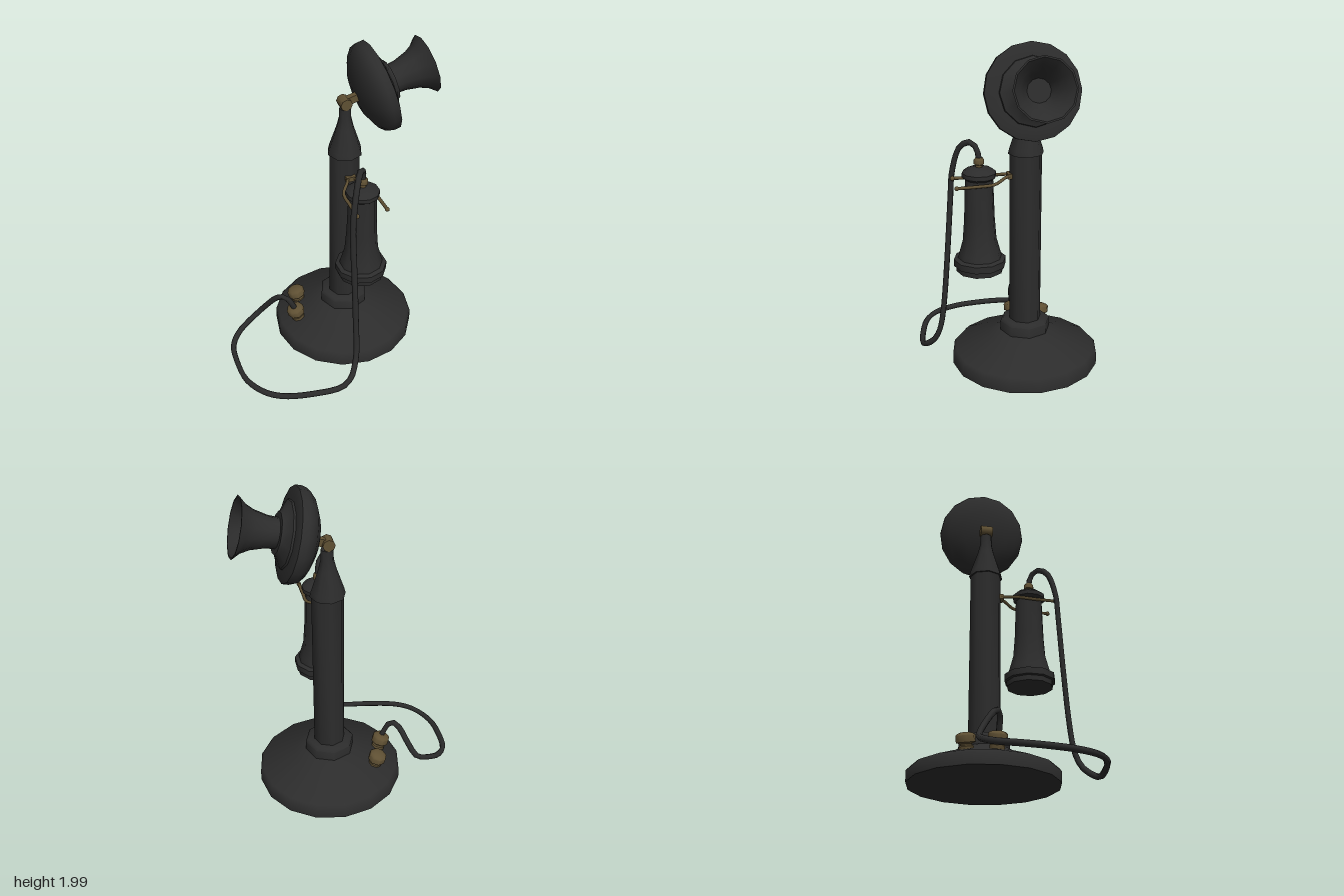
import * as THREE from 'three';
import { toCreasedNormals } from 'three/addons/utils/BufferGeometryUtils.js';

const V = (a) => new THREE.Vector3(...a);

export function createModel() {
  const black = new THREE.MeshStandardMaterial({ color: 0x2c2c2c });
  black.name = 'black enamel';
  const brass = new THREE.MeshStandardMaterial({ color: 0x5f5033 });
  brass.name = 'aged brass';

  const model = new THREE.Group();
  model.name = 'candlestickTelephone';

  function add(parent, name, geometry, material, pos = [0, 0, 0]) {
    const mesh = new THREE.Mesh(geometry, material);
    mesh.name = name;
    mesh.position.set(...pos);
    parent.add(mesh);
    return mesh;
  }
  // Turned part from [radius, height] pairs, listed bottom to top
  function turned(profile, sides) {
    const points = profile.map(([r, y]) => new THREE.Vector2(r, y));
    return toCreasedNormals(new THREE.LatheGeometry(points, sides), 0.83);
  }
  function tube(points, radius, steps, sides = 6, tension = 0.5) {
    const curve = new THREE.CatmullRomCurve3(points.map(V), false, 'catmullrom', tension);
    return new THREE.TubeGeometry(curve, steps, radius, sides);
  }

  // Stand: wide foot, collar, column and tapered top
  const stand = new THREE.Group();
  stand.name = 'stand';
  stand.position.set(0.13, 0, -0.09);
  model.add(stand);
  add(stand, 'base', turned([[0, 0.015], [0.443, 0.015], [0.443, 0.08], [0.425, 0.1],
    [0.22, 0.177], [0.155, 0.215], [0, 0.215]], 16), black);
  add(stand, 'collar', turned([[0.15, 0.18], [0.15, 0.275], [0.135, 0.29], [0, 0.29]], 8), black);
  add(stand, 'column', turned([[0.095, 0.28], [0.095, 1.34]], 8), black);
  add(stand, 'columnTop', turned([[0, 1.33], [0.105, 1.33], [0.098, 1.36], [0.052, 1.5],
    [0.038, 1.56], [0.036, 1.625], [0, 1.625]], 8), black);

  // Pivot joint carrying the mouthpiece
  const joint = new THREE.Group();
  joint.name = 'pivotJoint';
  joint.position.set(0.125, 1.66, -0.09);
  model.add(joint);
  add(joint, 'pivotPin', new THREE.CylinderGeometry(0.036, 0.036, 0.075, 8).rotateX(Math.PI / 2), brass);
  add(joint, 'pivotStem', new THREE.CylinderGeometry(0.02, 0.022, 0.06, 8), brass, [0, -0.025, 0]);
  add(joint, 'pivotArm', new THREE.BoxGeometry(0.13, 0.045, 0.035), brass, [0.055, 0.018, 0])
    .rotation.z = 0.26;

  // Mouthpiece, tilted upward to the side
  const head = new THREE.Group();
  head.name = 'mouthpiece';
  head.position.set(0.345, 1.737, -0.085);
  head.rotation.z = -1.309;
  model.add(head);
  add(head, 'transmitterHousing', turned([[0, -0.155], [0.143, -0.143], [0.225, -0.105],
    [0.262, -0.07], [0.27, -0.045], [0.27, -0.005], [0.25, 0.002], [0.2, 0.008], [0, 0.008]], 16), black);
  add(head, 'transmitterCap', turned([[0.195, 0], [0.19, 0.02], [0.125, 0.05],
    [0.12, 0.062], [0, 0.062]], 12), black);
  add(head, 'horn', turned([[0.086, 0.055], [0.09, 0.12], [0.11, 0.2], [0.135, 0.25], [0.174, 0.292],
    [0.164, 0.292], [0.125, 0.245], [0.095, 0.19], [0.066, 0.13], [0, 0.13]], 12), black);

  // Hanging receiver
  const receiver = new THREE.Group();
  receiver.name = 'receiver';
  receiver.position.set(0.13, 0, 0.183);
  model.add(receiver);
  add(receiver, 'receiverBody', turned([[0, 0.64], [0.115, 0.625], [0.14, 0.625], [0.142, 0.655],
    [0.155, 0.66], [0.155, 0.7], [0.13, 0.71], [0.122, 0.74], [0.1, 0.82], [0.09, 0.95],
    [0.082, 1.19], [0.1, 1.205], [0.1, 1.23], [0.075, 1.25], [0.03, 1.262], [0, 1.262]], 10), black);
  add(receiver, 'cordSocket', turned([[0.02, 1.25], [0.02, 1.275], [0.03, 1.28], [0.03, 1.305],
    [0.02, 1.318], [0, 1.318]], 8), brass);

  // Forked hook holding the receiver
  const hook = new THREE.Group();
  hook.name = 'receiverHook';
  hook.position.x = 0.13;
  model.add(hook);
  for (const s of [1, -1]) {
    add(hook, 'hookProng', tube([[s * 0.022, 1.2, -0.03], [s * 0.026, 1.2, 0.025], [s * 0.085, 1.178, 0.105],
      [s * 0.09, 1.172, 0.2], [s * 0.092, 1.17, 0.325]], 0.01, 16), brass);
    add(hook, 'prongTip', new THREE.SphereGeometry(0.014, 8, 6), brass, [s * 0.092, 1.17, 0.325]);
  }
  add(hook, 'hookRoot', new THREE.BoxGeometry(0.06, 0.03, 0.04), brass, [0, 1.2, 0]);

  // Two terminal knobs leaning outward on the foot
  const knobShape = turned([[0.042, -0.03], [0.042, 0.028], [0.034, 0.034], [0.034, 0.042], [0.055, 0.05],
    [0.055, 0.088], [0.045, 0.098], [0.025, 0.105], [0, 0.105]], 8);
  for (const [x, z] of [[-0.185, -0.08], [-0.125, -0.235]]) {
    const knob = add(model, 'terminalKnob', knobShape, brass, [x, 0.13, z]);
    const out = V([x - 0.13, 0, z + 0.09]).normalize().multiplyScalar(0.3);
    knob.quaternion.setFromUnitVectors(V([0, 1, 0]), V([out.x, 1, out.z]).normalize());
  }

  // Cord from receiver, down to the ground and round to the knob
  add(model, 'cord', tube([
    [0.13, 1.3, 0.183], [0.125, 1.37, 0.195], [0.09, 1.4, 0.235], [0.05, 1.35, 0.29],
    [0.018, 1.2, 0.325], [0.01, 1.05, 0.335], [0.016, 0.7, 0.36], [0.018, 0.4, 0.385],
    [0.015, 0.22, 0.41], [-0.01, 0.12, 0.445], [-0.055, 0.065, 0.49], [-0.13, 0.033, 0.51],
    [-0.27, 0.027, 0.495], [-0.45, 0.025, 0.45], [-0.565, 0.023, 0.37], [-0.64, 0.02, 0.23],
    [-0.652, 0.026, 0.07], [-0.635, 0.035, -0.07], [-0.575, 0.055, -0.155], [-0.5, 0.085, -0.197],
    [-0.41, 0.13, -0.222], [-0.36, 0.21, -0.185], [-0.32, 0.295, -0.13], [-0.285, 0.325, -0.095],
    [-0.25, 0.3, -0.077], [-0.215, 0.225, -0.075],
  ], 0.018, 75), black);

  return model;
}
